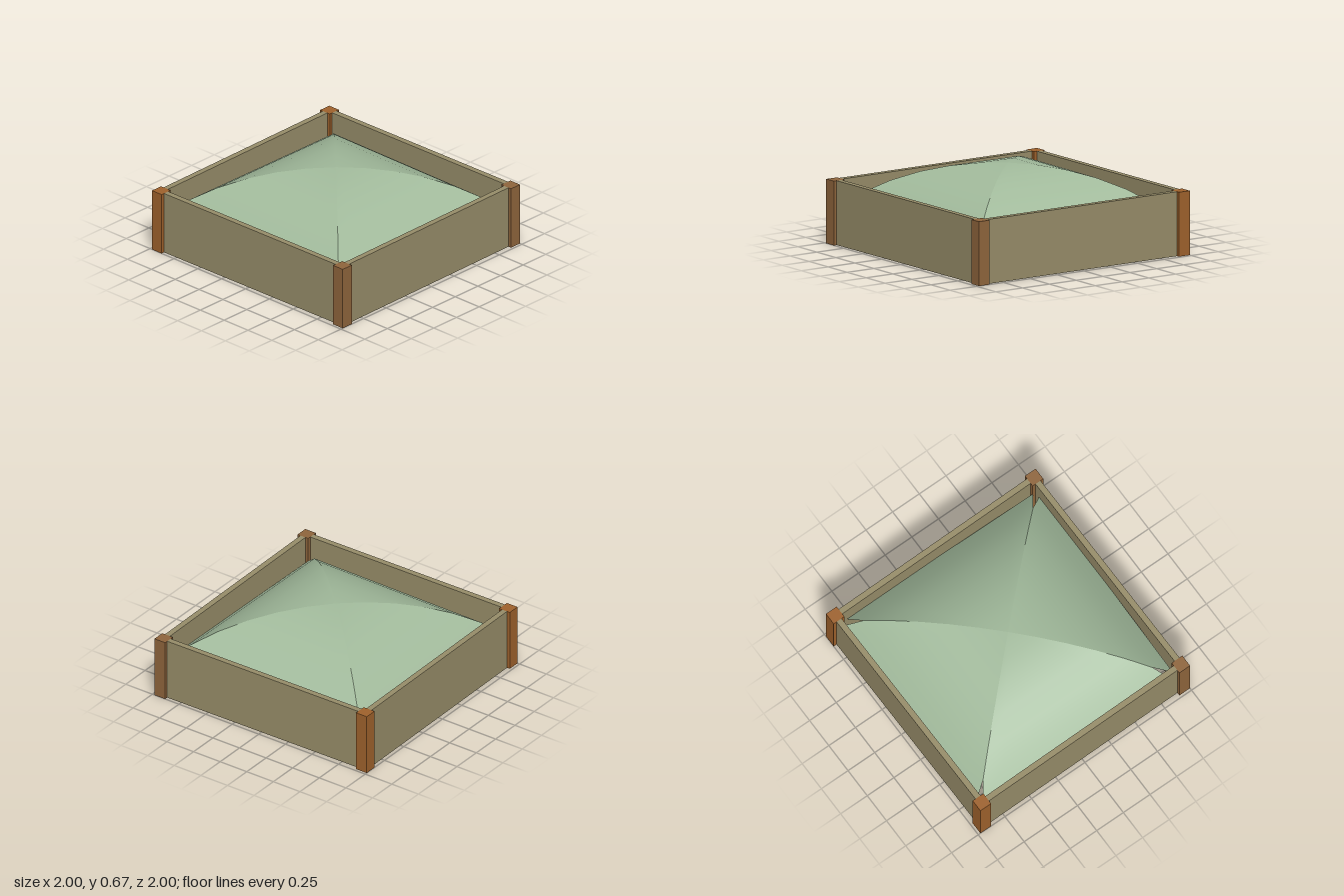
import * as THREE from 'three';

const mat = (name, color, side = THREE.FrontSide) => {
  const m = new THREE.MeshStandardMaterial({ color, side });
  m.name = name;
  return m;
};

export function createModel() {
  const model = new THREE.Group();
  const plank = mat('plank tan', 0x978d69);
  const backWood = mat('back post orange brown', 0x9f622c);
  const frontWood = mat('front post brown', 0x8f653c);
  const base = mat('underside dark green', 0x486038);
  const cover = mat('cover pale green', 0xa2bb9c, THREE.DoubleSide);

  const HEIGHT = 0.5, POST = 0.1, WALL = 0.047;

  // Box standing on the ground with a dark green underside
  function standingBox(name, w, d, material, x, z, turn = 0) {
    const sides = [0, 1, 2, 3, 4, 5].map((i) => (i === 3 ? base : material));
    const mesh = new THREE.Mesh(new THREE.BoxGeometry(w, HEIGHT, d), sides);
    mesh.name = name;
    mesh.position.set(x, HEIGHT / 2, z);
    mesh.rotation.y = turn;
    model.add(mesh);
  }

  // Corner posts: upright to the axes, set on a slightly turned square
  const corners = [
    ['backRight', -0.95, -0.93, backWood],
    ['backLeft', 0.93, -0.95, backWood],
    ['frontLeft', 0.95, 0.93, frontWood],
    ['frontRight', -0.93, 0.95, frontWood],
  ];
  // Naming: the model's own left is +x
  corners[0][0] = 'backRightPost';
  corners[1][0] = 'backLeftPost';
  corners[2][0] = 'frontLeftPost';
  corners[3][0] = 'frontRightPost';
  for (const [name, x, z, wood] of corners) standingBox(name, POST, POST, wood, x, z);

  // Walls running from post to post
  ['backWall', 'leftWall', 'frontWall', 'rightWall'].forEach((name, i) => {
    const [, ax, az] = corners[i];
    const [, bx, bz] = corners[(i + 1) % 4];
    const length = Math.hypot(bx - ax, bz - az) - POST + 0.002;
    standingBox(name, length, WALL, plank, (ax + bx) / 2, (az + bz) / 2, Math.atan2(az - bz, bx - ax));
  });

  // Domed cover: four curved panels meeting at diagonal ridges, corners clipped
  const dome = new THREE.Group();
  dome.name = 'domedCover';
  dome.rotation.y = -0.0106;
  const rings = [0, 0.16, 0.32, 0.48, 0.64, 0.79, 0.917];
  const R = 1.295, TOP = 0.673, COLS = 8;
  const positions = [], index = [];
  rings.forEach((d, r) => {
    const halfWidth = r === rings.length - 1 ? d - 0.04 : d;
    const y = TOP - R + Math.sqrt(R * R - d * d);
    for (let c = 0; c <= COLS; c++) positions.push(halfWidth * (2 * c / COLS - 1), y, d);
    if (r === 0) return;
    for (let c = 0; c < COLS; c++) {
      const b = r * (COLS + 1) + c, a = b - COLS - 1;
      if (r > 1) index.push(a, b, a + 1);
      index.push(a + 1, b, b + 1);
    }
  });
  const panel = new THREE.BufferGeometry();
  panel.setAttribute('position', new THREE.Float32BufferAttribute(positions, 3));
  panel.setIndex(index);
  panel.computeVertexNormals();
  for (let i = 0; i < 4; i++) {
    const mesh = new THREE.Mesh(panel, cover);
    mesh.name = 'coverPanel';
    mesh.rotation.y = i * Math.PI / 2;
    dome.add(mesh);
  }
  model.add(dome);

  return model;
}
